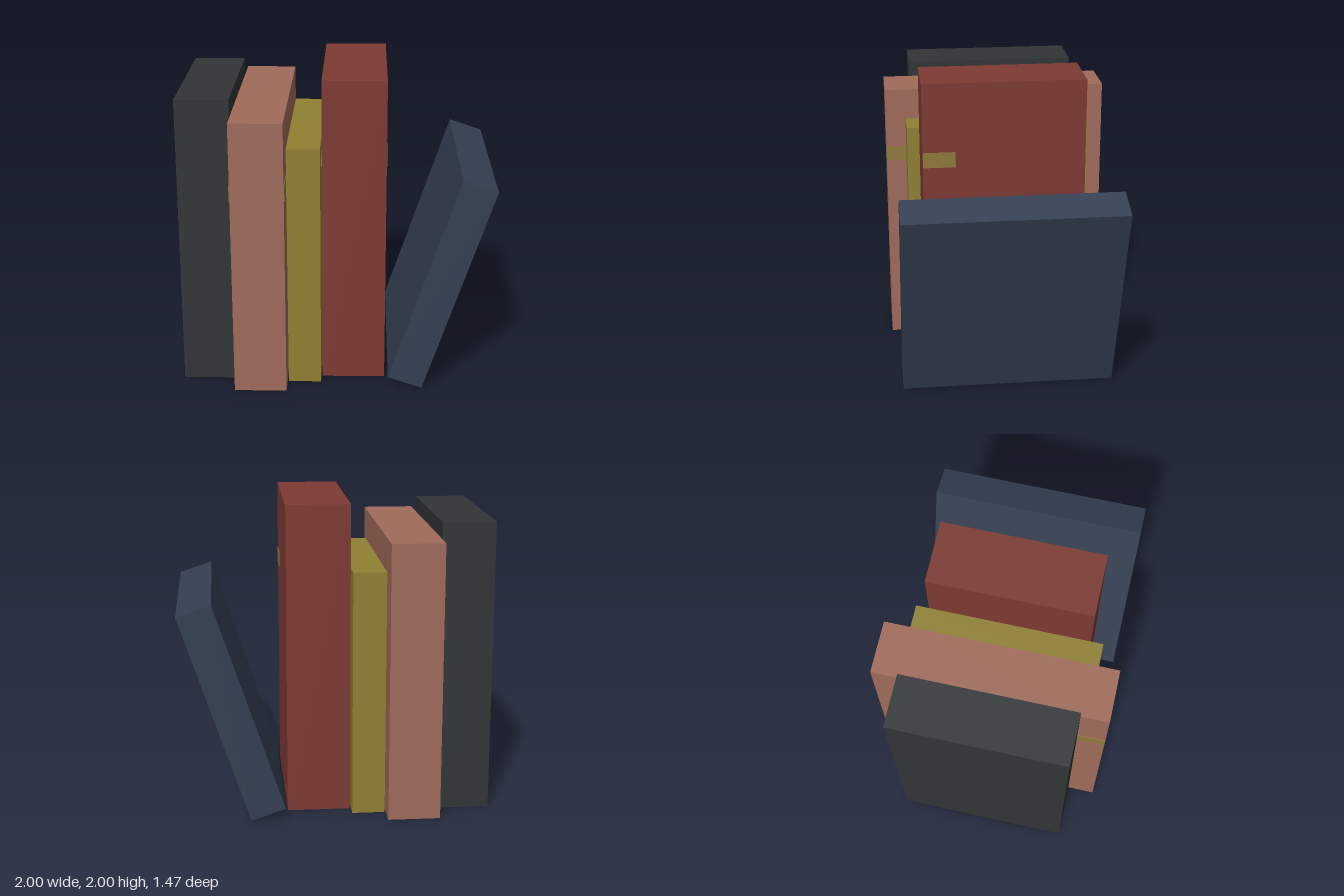
import * as THREE from 'three';

// One closed book: a plain block, optionally with a band wrapped around the spine end.
function makeBook({ name, color, x, width, height, depth, band }) {
  const book = new THREE.Group();
  book.name = name;
  const addBox = (part, w, h, d, y, z, c) => {
    const mesh = new THREE.Mesh(
      new THREE.BoxGeometry(w, h, d),
      new THREE.MeshStandardMaterial({ color: c })
    );
    mesh.name = part;
    mesh.position.set(0, y, z);
    book.add(mesh);
  };
  addBox('bookBlock', width, height, depth, height / 2, 0, color);

  // Band stands a hair proud of both covers and covers the front fifth of the depth
  if (band) {
    const d = depth * 0.2;
    addBox('spineBand', width + 0.008, 0.1, d, height * 0.75, depth / 2 - d / 2 - 0.001, 0x907a3c);
  }
  book.position.x = x;
  return book;
}

export function createModel() {
  const model = new THREE.Group();
  model.name = 'bookRow';

  // Upright books, from the model's right to its left
  const books = [
    { name: 'charcoalBook', color: 0x313536, x: -0.83, width: 0.338, height: 1.885, depth: 1.115 },
    { name: 'tanBook', color: 0xa06b5a, x: -0.487, width: 0.334, height: 1.787, depth: 1.47, band: true },
    { name: 'oliveBook', color: 0x908033, x: -0.207, width: 0.211, height: 1.587, depth: 1.204 },
    { name: 'redBook', color: 0x7d3a33, x: 0.109, width: 0.405, height: 2, depth: 1.042, band: true },
  ];
  for (const spec of books) model.add(makeBook(spec));

  // Leaning book, tilted about its centre
  const lean = new THREE.Mesh(
    new THREE.BoxGeometry(0.231, 1.41, 1.383),
    new THREE.MeshStandardMaterial({ color: 0x343f52 })
  );
  lean.name = 'leaningBook';
  lean.position.set(0.664, 0.713, 0);
  lean.rotation.z = -0.321;
  model.add(lean);

  return model;
}
